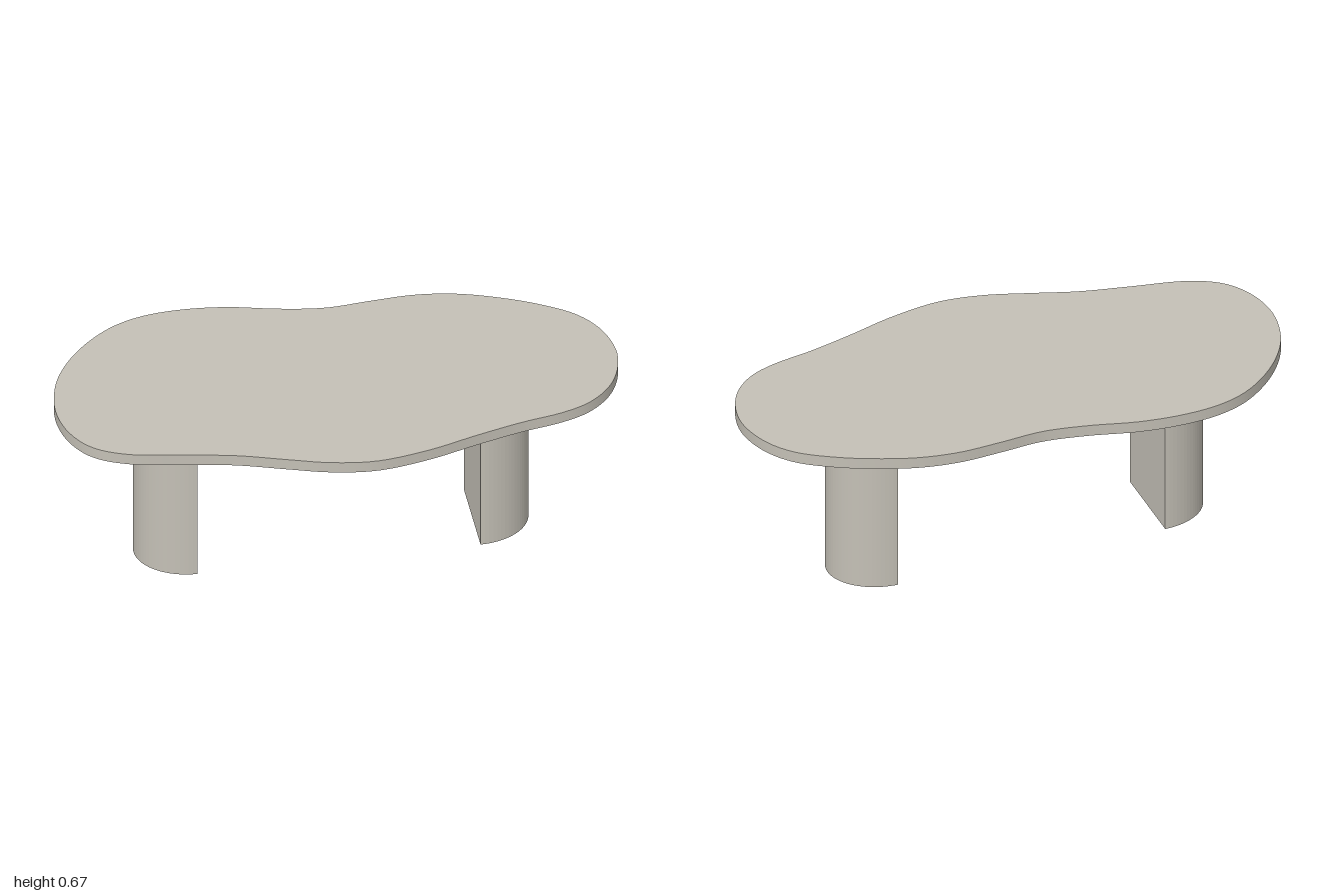
import * as THREE from 'three';
import { toCreasedNormals } from 'three/addons/utils/BufferGeometryUtils.js';

// Extrude a plan outline (x, -z) upwards from the given height
function slab(shape, bottom, height, curveSegments) {
  const geometry = new THREE.ExtrudeGeometry(shape, { depth: height, bevelEnabled: false, curveSegments });
  geometry.rotateX(-Math.PI / 2);
  geometry.translate(0, bottom, 0);
  return geometry;
}

export function createModel() {
  const group = new THREE.Group();
  group.name = 'coffeeTable';
  const stone = new THREE.MeshStandardMaterial({ color: 0xc4c0b6 });
  stone.name = 'warm grey stone';

  const topBottom = 0.628, topHeight = 0.042;

  // Organic table top: a closed smooth curve through plan points (x, z)
  const outline = [
    [-1, 0.01], [-0.97, -0.15], [-0.9, -0.28], [-0.8, -0.39], [-0.7, -0.46], [-0.59, -0.498],
    [-0.45, -0.51], [-0.3, -0.497], [-0.12, -0.455], [0.04, -0.433], [0.2, -0.446],
    [0.36, -0.455], [0.5, -0.437], [0.63, -0.395], [0.77, -0.33], [0.9, -0.24],
    [0.97, -0.135], [1, 0], [0.98, 0.12], [0.93, 0.215], [0.85, 0.288], [0.75, 0.33],
    [0.6, 0.363], [0.43, 0.412], [0.25, 0.47], [0.06, 0.503], [-0.1, 0.485],
    [-0.25, 0.44], [-0.42, 0.386], [-0.6, 0.35], [-0.8, 0.31], [-0.91, 0.25], [-0.975, 0.15],
  ];
  const curve = new THREE.CatmullRomCurve3(outline.map(([x, z]) => new THREE.Vector3(x, -z, 0)), true);
  const points = curve.getPoints(160).slice(0, -1).map((p) => new THREE.Vector2(p.x, p.y));
  const top = new THREE.Mesh(toCreasedNormals(slab(new THREE.Shape(points), topBottom, topHeight, 1), 0.5), stone);
  top.name = 'tableTop';
  group.add(top);

  // Half-round legs: flat face inwards, faceted curve outwards
  const legZ = -0.023, halfWidth = 0.168, depth = 0.198;
  for (const [name, flatX, side] of [['leftLeg', 0.49, 1], ['rightLeg', -0.518, -1]]) {
    const shape = new THREE.Shape();
    const start = side > 0 ? -Math.PI / 2 : Math.PI / 2;
    shape.absellipse(flatX, -legZ, depth, halfWidth, start, start + Math.PI, false, 0);
    shape.closePath();
    const leg = new THREE.Mesh(slab(shape, 0, topBottom, 20), stone);
    leg.name = name;
    group.add(leg);
  }
  return group;
}
